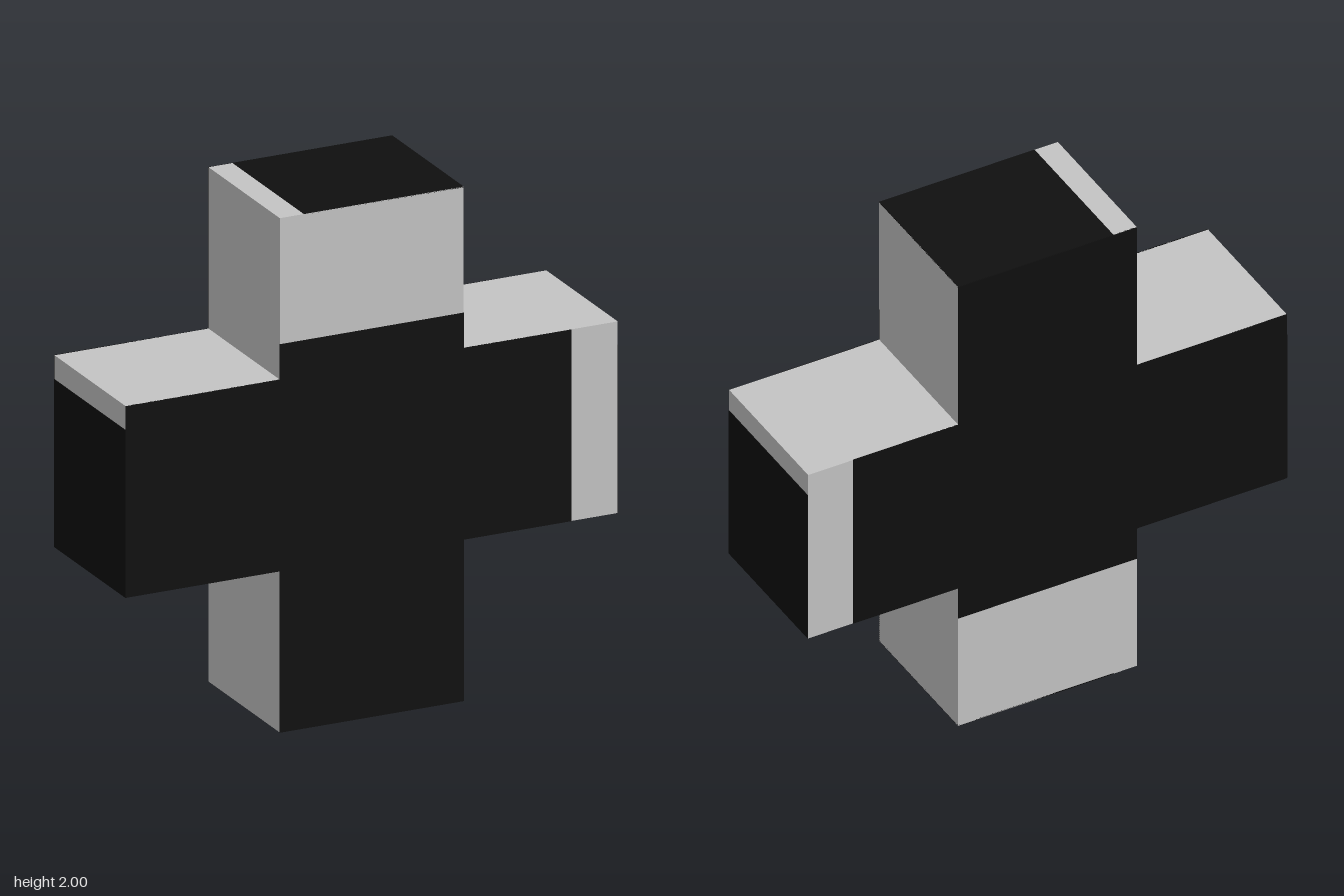
import * as THREE from 'three';

const HALF = 0.3725;  // half width of each bar
const DEPTH = 0.59;   // thickness of the cross
const MID = 1;        // height of the centre
const T = 0.004;      // panel thickness, sunk halfway into the body

// Plus-shaped outline with its four arm ends at the given positions
function crossShape(left, right, bottom, top) {
  const lo = MID - HALF, hi = MID + HALF;
  return new THREE.Shape([
    [-HALF, bottom], [HALF, bottom], [HALF, lo], [right, lo], [right, hi], [HALF, hi],
    [HALF, top], [-HALF, top], [-HALF, hi], [left, hi], [left, lo], [-HALF, lo],
  ].map(([x, y]) => new THREE.Vector2(x, y)));
}

// Extruded slab centred on z
function slab(shape, depth, z) {
  const geo = new THREE.ExtrudeGeometry(shape, { depth, bevelEnabled: false });
  return geo.translate(0, 0, z - depth / 2);
}

export function createModel() {
  const grey = new THREE.MeshStandardMaterial({ color: 0xc4c4c4 });
  grey.name = 'light grey';
  const black = new THREE.MeshStandardMaterial({ color: 0x0f0f0f });
  black.name = 'black';

  const group = new THREE.Group();
  group.name = 'cross';
  const add = (name, geo, mat) => {
    const mesh = new THREE.Mesh(geo, mat);
    mesh.name = name;
    group.add(mesh);
  };

  // Solid cross
  add('body', slab(crossShape(-0.998, 0.998, 0, 2), DEPTH, 0), grey);

  // Black panels on the two broad faces, each leaving two arm tips bare
  add('frontPanel', slab(crossShape(-0.998, 0.81, 0, 1.51), T, DEPTH / 2), black);
  add('backPanel', slab(crossShape(-0.998, 0.81, 0.49, 2), T, -DEPTH / 2), black);

  // Arm end panels, leaving a bare strip at the top
  const endLow = MID - HALF, endHigh = 1.28;
  for (const [name, side] of [['leftEndPanel', 1], ['rightEndPanel', -1]]) {
    const geo = new THREE.BoxGeometry(T, endHigh - endLow, DEPTH);
    add(name, geo.translate(side * 0.998, (endLow + endHigh) / 2, 0), black);
  }

  // Top and bottom panels, leaving a bare strip along one edge
  const start = -0.275;
  for (const [name, y] of [['topPanel', 2 - T / 4], ['bottomPanel', T / 4]]) {
    const geo = new THREE.BoxGeometry(HALF - start, T, DEPTH);
    add(name, geo.translate((HALF + start) / 2, y, 0), black);
  }

  // The cross stands turned about the vertical axis
  group.rotation.y = 0.897;
  const model = new THREE.Group();
  model.name = 'model';
  model.add(group);
  return model;
}
